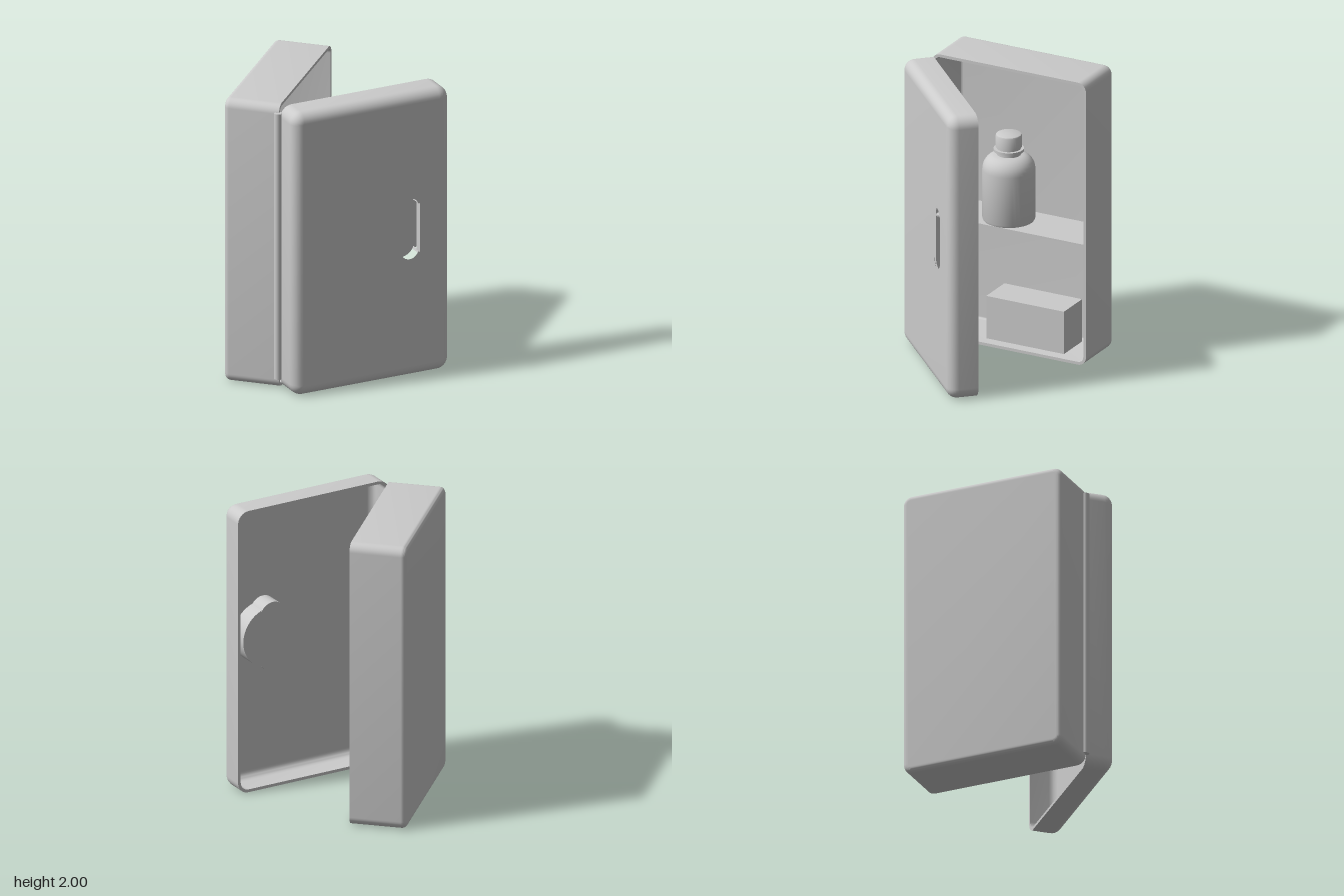
import * as THREE from 'three';
import { mergeGeometries, toCreasedNormals } from 'three/addons/utils/BufferGeometryUtils.js';

const material = new THREE.MeshStandardMaterial({ color: 0xcccccc });

function add(parent, name, geometry, x = 0, y = 0, z = 0) {
  const mesh = new THREE.Mesh(geometry, material);
  mesh.name = name;
  mesh.position.set(x, y, z);
  parent.add(mesh);
  return mesh;
}

// Points of a rounded rectangle, counter-clockwise, shrunk by an inset
function roundedRect(w, h, radius, inset) {
  const r = Math.max(radius - inset, 0.006);
  const cx = w / 2 - inset - r, cy = h / 2 - inset - r, n = 8, points = [];
  [[1, 1], [-1, 1], [-1, -1], [1, -1]].forEach(([sx, sy], q) => {
    for (let i = 0; i <= n; i++) {
      const a = (q + i / n) * Math.PI / 2;
      points.push(new THREE.Vector2(sx * cx + r * Math.cos(a), sy * cy + r * Math.sin(a)));
    }
  });
  return points;
}

// Hollow tray: rim at z = 0, closed rounded face at z = d, optional opening through the face
function trayGeometry({ w, h, d, radius, bevel, wall, hole }) {
  const profile = [], n = 7, innerBevel = Math.max(bevel - wall, 0.01);
  for (let i = 0; i <= n; i++) {
    const a = i / n * Math.PI / 2;
    profile.push([bevel * (1 - Math.sin(a)), d - bevel * (1 - Math.cos(a))]);
  }
  profile.push([0, 0], [wall, 0]);
  for (let i = 0; i <= n; i++) {
    const a = i / n * Math.PI / 2;
    profile.push([wall + innerBevel * (1 - Math.cos(a)), d - wall - innerBevel * (1 - Math.sin(a))]);
  }
  const rings = profile.map(([inset, z]) =>
    roundedRect(w, h, radius, inset).map(p => [p.x, p.y, z]));
  const positions = [];
  for (let k = 0; k < rings.length - 1; k++) {
    const a = rings[k], b = rings[k + 1];
    for (let i = 0; i < a.length; i++) {
      const j = (i + 1) % a.length;
      positions.push(...a[i], ...b[i], ...a[j], ...a[j], ...b[i], ...b[j]);
    }
  }
  const sides = new THREE.BufferGeometry();
  sides.setAttribute('position', new THREE.Float32BufferAttribute(positions, 3));

  const cap = (inset, z, flip) => {
    const shape = new THREE.Shape(roundedRect(w, h, radius, inset));
    if (hole) shape.holes.push(hole);
    const g = new THREE.ShapeGeometry(shape, 24);
    if (flip) g.index.array.reverse();
    g.translate(0, 0, z);
    const flat = g.toNonIndexed();
    flat.deleteAttribute('uv');
    flat.deleteAttribute('normal');
    return flat;
  };
  const merged = mergeGeometries([
    sides, cap(bevel, d, false), cap(wall + innerBevel, d - wall, true),
  ]);
  return toCreasedNormals(merged, 0.6);
}

// Outline of the latch recess: a slot with rounded ends joined to a round scoop
function latchOutline(grow, Type = THREE.Shape) {
  const s = new Type(), deg = Math.PI / 180, y = 0.045;
  s.absarc(0.28, y + 0.15, 0.065 + grow, 180 * deg, 20 * deg, true);
  s.absarc(0.29, y, 0.185 + grow, 70 * deg, -70 * deg, true);
  s.absarc(0.28, y - 0.15, 0.065 + grow, -20 * deg, -180 * deg, true);
  s.closePath();
  return s;
}

const extrude = (shape, depth) => toCreasedNormals(
  new THREE.ExtrudeGeometry(shape, { depth, bevelEnabled: false, curveSegments: 24 }), 0.6);

const lathe = points => toCreasedNormals(
  new THREE.LatheGeometry(points.map(p => new THREE.Vector2(...p)), 40), 0.6);

export function createModel() {
  const model = new THREE.Group();
  model.name = 'cabinet';

  // Cabinet body, open toward +x
  const body = add(model, 'cabinetBody', trayGeometry({
    w: 1.15, h: 2, d: 0.38, radius: 0.06, bevel: 0.035, wall: 0.02,
  }), -0.285, 1, -0.06);
  body.rotation.y = -Math.PI / 2;

  add(model, 'shelf', new THREE.BoxGeometry(0.355, 0.01, 1.12), -0.47, 0.85, -0.06);
  add(model, 'storedBox', new THREE.BoxGeometry(0.25, 0.3, 0.58), -0.485, 0.17, -0.14);

  // Hinge pin
  add(model, 'hinge', new THREE.CylinderGeometry(0.026, 0.026, 1.88, 24), -0.29, 1.01, 0.517);

  // Bottle on the shelf
  const bottle = new THREE.Group();
  bottle.name = 'bottle';
  bottle.position.set(-0.45, 0.855, 0.03);
  model.add(bottle);
  const profile = [[0, 0], [0.155, 0], [0.169, 0.006], [0.175, 0.02], [0.175, 0.36]];
  for (let i = 1; i <= 8; i++) {
    const a = i / 8 * Math.PI / 2;
    profile.push([0.08 + 0.095 * Math.cos(a), 0.36 + 0.105 * Math.sin(a)]);
  }
  profile.push([0.08, 0.55], [0, 0.55]);
  add(bottle, 'bottleBody', lathe(profile));
  add(bottle, 'neckRing', new THREE.CylinderGeometry(0.1, 0.1, 0.018, 40), 0, 0.498, 0);
  add(bottle, 'bottleCap', lathe([
    [0, 0], [0.087, 0], [0.087, 0.078], [0.083, 0.086], [0.075, 0.09], [0, 0.09],
  ]), 0, 0.52, 0);

  // Door, swung half open about the hinge
  const door = new THREE.Group();
  door.name = 'door';
  door.position.set(-0.275, 1, 0.515);
  door.rotation.y = 0.77;
  model.add(door);
  const leaf = new THREE.Group();
  leaf.name = 'doorLeaf';
  leaf.position.x = 0.575;
  door.add(leaf);
  add(leaf, 'doorShell', trayGeometry({
    w: 1.15, h: 2, d: 0.2, radius: 0.08, bevel: 0.07, wall: 0.02,
    hole: latchOutline(0, THREE.Path),
  }));

  // Latch recess: walls, floor and the grip plate flush with the door face
  const walls = latchOutline(0.03);
  walls.holes.push(latchOutline(0, THREE.Path));
  add(leaf, 'latchRecessWalls', extrude(walls, 0.125), 0, 0, 0.065);
  add(leaf, 'latchRecessFloor', extrude(latchOutline(0.03), 0.015), 0, 0, 0.05);
  const grip = new THREE.Shape();
  const half = Math.acos(0.06 / 0.185);
  grip.absarc(0.29, 0.045, 0.185, -half, half, false);
  grip.closePath();
  add(leaf, 'latchGrip', extrude(grip, 0.05), 0, 0, 0.149);

  return model;
}
